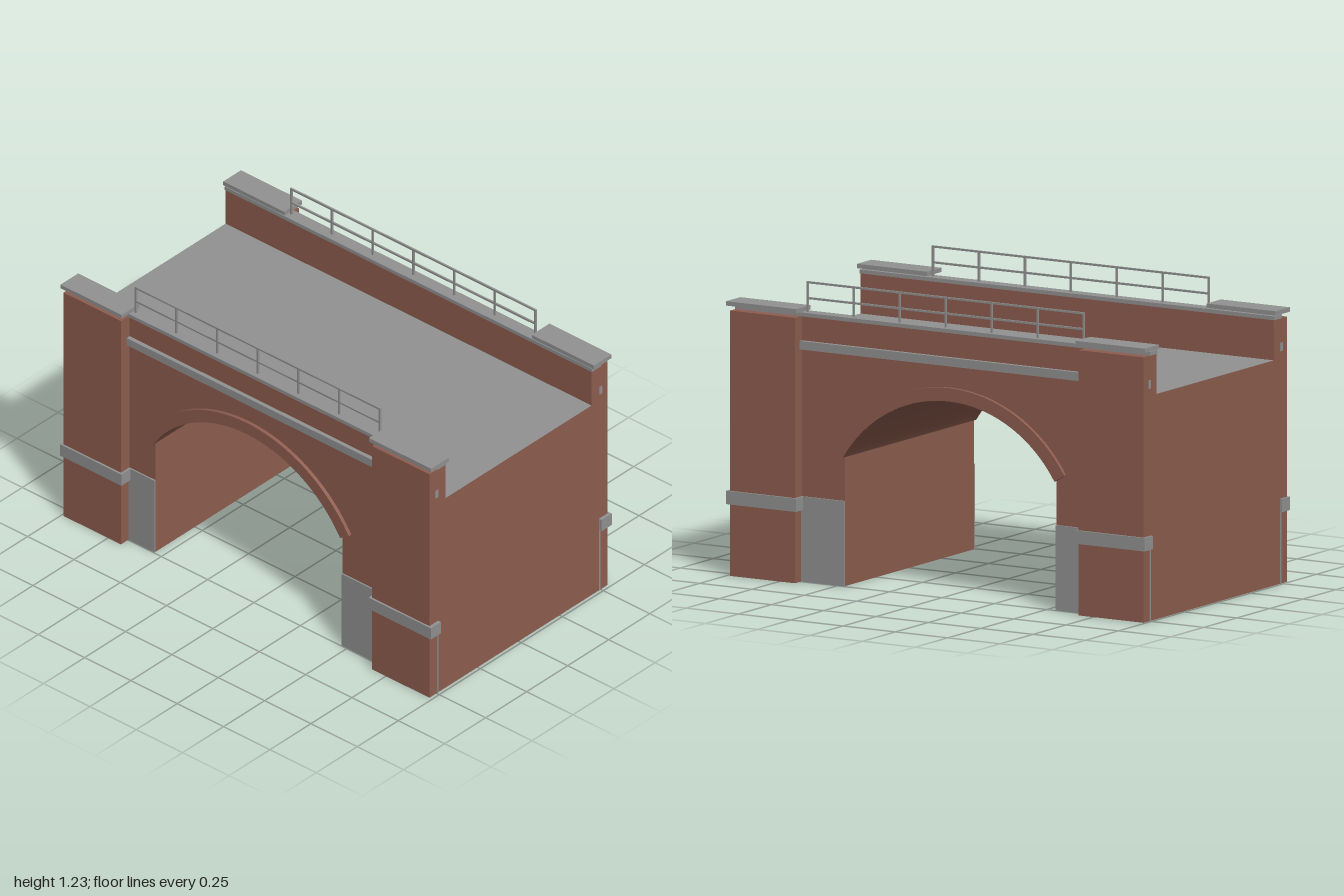
import * as THREE from 'three';

export function createModel() {
  const model = new THREE.Group();
  model.name = 'archBridge';

  const brick = new THREE.MeshStandardMaterial({ color: 0x8e5d4f, side: THREE.DoubleSide });
  brick.name = 'brick';
  const stone = new THREE.MeshStandardMaterial({ color: 0x929292, side: THREE.DoubleSide });
  stone.name = 'stone';

  // Main dimensions
  const left = -0.99, right = 0.985;
  const jambL = -0.54, jambR = 0.47;
  const wallZ = 0.49, deckY = 0.925, topY = 1.09, plinthY = 0.35;
  const arcX = (jambL + jambR) / 2, arcY = 0.215, R = 0.595;
  const half = Math.asin((jambR - jambL) / 2 / R);
  const springY = arcY + R * Math.cos(half);
  const a0 = Math.PI / 2 - half, a1 = Math.PI / 2 + half;

  function add(name, geometry, material, parent = model) {
    const mesh = new THREE.Mesh(geometry, material);
    mesh.name = name;
    parent.add(mesh);
    return mesh;
  }

  // Box given by its limits along each axis
  function box(name, x0, x1, y0, y1, z0, z1, material, parent) {
    const g = new THREE.BoxGeometry(x1 - x0, y1 - y0, Math.abs(z1 - z0));
    g.translate((x0 + x1) / 2, (y0 + y1) / 2, (z0 + z1) / 2);
    return add(name, g, material, parent);
  }

  // Upright plane across the bridge, facing +x or -x
  function crossWall(name, x, height, facing) {
    const g = new THREE.PlaneGeometry(2 * wallZ, height);
    g.rotateY(facing * Math.PI / 2).translate(x, height / 2, 0);
    add(name, g, brick);
  }

  // Hollow body: end walls, arch jambs, barrel vault and deck
  crossWall('endWallLeft', right, deckY, 1);
  crossWall('endWallRight', left, deckY, -1);
  crossWall('jambLeft', jambR, springY, -1);
  crossWall('jambRight', jambL, springY, 1);
  const vault = new THREE.CylinderGeometry(R, R, 2 * wallZ, 48, 1, true, -half, 2 * half);
  vault.rotateX(-Math.PI / 2).translate(arcX, arcY, 0);
  add('archVault', vault, brick);
  const deck = new THREE.PlaneGeometry(right - left, 2 * wallZ);
  deck.rotateX(-Math.PI / 2).translate((left + right) / 2, deckY, 0);
  add('deck', deck, stone);

  // Face wall with the arch cut out
  const face = new THREE.Shape();
  face.moveTo(left, plinthY);
  face.lineTo(jambL, plinthY);
  face.lineTo(jambL, springY);
  face.absarc(arcX, arcY, R, a1, a0, true);
  face.lineTo(jambR, plinthY);
  face.lineTo(right, plinthY);
  face.lineTo(right, topY);
  face.lineTo(left, topY);
  face.closePath();

  // Raised ring around the arch
  const ring = new THREE.Shape();
  ring.absarc(arcX, arcY, R, a0, a1, false);
  ring.absarc(arcX, arcY, R + 0.055, a1, a0, true);
  ring.closePath();

  for (const s of [1, -1]) {
    const side = new THREE.Group();
    side.name = s > 0 ? 'frontSide' : 'backSide';
    model.add(side);

    add('faceWall', new THREE.ShapeGeometry(face, 48), brick, side).position.z = s * wallZ;
    const ringGeo = new THREE.ExtrudeGeometry(ring, { depth: 0.016, bevelEnabled: false, curveSegments: 48 });
    ringGeo.translate(0, 0, s * (wallZ + 0.008) - 0.008);
    add('archRing', ringGeo, brick, side);

    // Parapet, coping and string course
    box('parapet', left, right, deckY, topY, s * 0.445, s * wallZ, brick, side);
    box('coping', left - 0.003, right + 0.003, topY, 1.106, s * 0.443, s * 0.5, stone, side);
    box('stringCourse', left - 0.002, right + 0.002, 0.955, 0.99, s * wallZ, s * 0.508, stone, side);

    // Corner pilasters with band, cap and stone plinth
    const ends = [
      { p: [left, -0.68], band: [-1, -0.67], cap: [-1, -0.67], plinth: [left - 0.002, jambL] },
      { p: [0.675, right], band: [0.665, 1], cap: [0.665, 1], plinth: [jambR, right + 0.002] },
    ];
    for (const e of ends) {
      box('pilaster', ...e.p, 0, topY, s * wallZ, s * 0.543, brick, side);
      box('pilasterBand', ...e.band, 0.295, 0.35, s * wallZ, s * 0.552, stone, side);
      box('pilasterCap', ...e.cap, 1.11, 1.128, s * 0.442, s * 0.55, stone, side);
      box('plinth', ...e.plinth, 0, plinthY, s * (wallZ - 0.001), s * 0.497, stone, side);
    }

    // Railing: seven posts and two rails
    const railing = new THREE.Group();
    railing.name = 'railing';
    side.add(railing);
    const t = 0.004, z = 0.474;
    for (let i = 0; i < 7; i++) {
      const x = -0.66 + i * 0.2195;
      box('railingPost', x - t, x + t, 1.1, 1.232, s * (z - t), s * (z + t), stone, railing);
    }
    for (const y of [1.163, 1.228]) {
      box('railingBar', -0.664, 0.661, y - t, y + t, s * (z - t), s * (z + t), stone, railing);
    }
  }
  return model;
}
